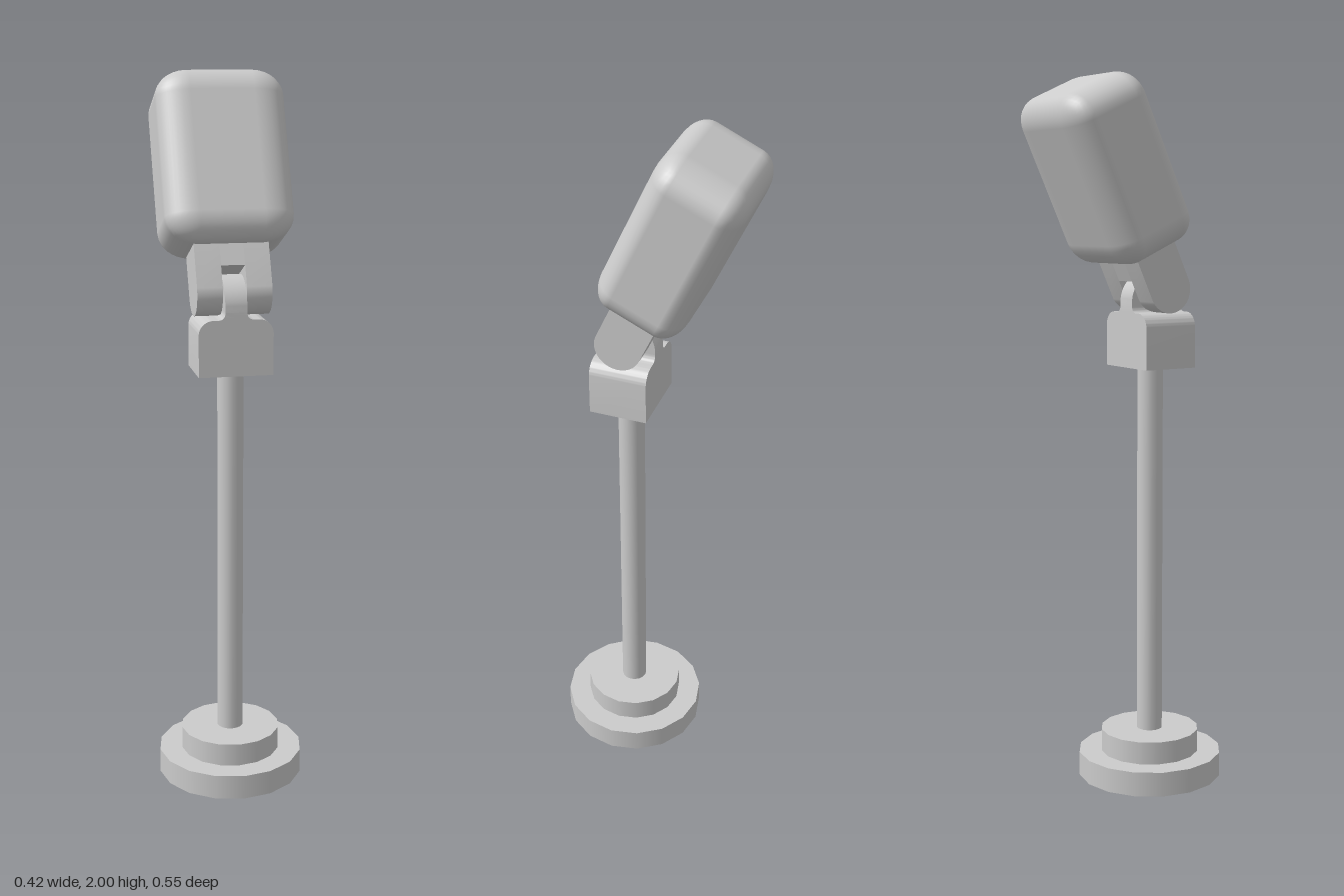
import * as THREE from 'three';
import { toCreasedNormals } from 'three/addons/utils/BufferGeometryUtils.js';
import { RoundedBoxGeometry } from 'three/addons/geometries/RoundedBoxGeometry.js';

const AXIS_Z = 0.07; // the stand's axis
const TILT = -0.427; // head leans backwards

export function createModel() {
  const model = new THREE.Group();
  const material = new THREE.MeshStandardMaterial({ color: 0xcccccc });

  function add(parent, name, geometry, x, y, z) {
    const mesh = new THREE.Mesh(geometry, material);
    mesh.name = name;
    mesh.position.set(x, y, z);
    parent.add(mesh);
    return mesh;
  }

  function extrude(shape, depth, curveSegments) {
    const geometry = new THREE.ExtrudeGeometry(shape, { depth, curveSegments, bevelEnabled: false });
    geometry.translate(0, 0, -depth / 2);
    return toCreasedNormals(geometry, 0.6);
  }

  // Plate in the y-z plane with one half-round end, thickness along x
  function roundedPlate(radius, length, thickness, roundUp) {
    const s = new THREE.Shape();
    if (roundUp) {
      s.moveTo(-radius, -length);
      s.lineTo(radius, -length);
      s.absarc(0, 0, radius, 0, Math.PI, false);
    } else {
      s.moveTo(radius, length);
      s.lineTo(-radius, length);
      s.absarc(0, 0, radius, Math.PI, Math.PI * 2, false);
    }
    s.closePath();
    return extrude(s, thickness, 14).rotateY(-Math.PI / 2);
  }

  function cylinder(name, radius, bottom, top) {
    const geometry = new THREE.CylinderGeometry(radius, radius, top - bottom, 16);
    add(model, name, geometry, 0, (bottom + top) / 2, AXIS_Z);
  }

  // Stepped base and pole
  cylinder('baseLower', 0.208, 0, 0.07);
  cylinder('baseUpper', 0.142, 0.07, 0.135);
  cylinder('pole', 0.037, 0.135, 1.2);

  // Joint block with rounded shoulders and fillets up to the tongue
  const block = new THREE.Shape();
  block.moveTo(-0.103, 0);
  block.lineTo(0.103, 0);
  block.lineTo(0.103, 0.115);
  block.absarc(0.063, 0.115, 0.04, 0, Math.PI / 2, false);
  block.lineTo(0.05, 0.155);
  block.quadraticCurveTo(0.03, 0.155, 0.03, 0.175);
  block.lineTo(-0.03, 0.175);
  block.quadraticCurveTo(-0.03, 0.155, -0.05, 0.155);
  block.lineTo(-0.063, 0.155);
  block.absarc(-0.063, 0.115, 0.04, Math.PI / 2, Math.PI, false);
  block.closePath();
  add(model, 'jointBlock', extrude(block, 0.163, 8), 0, 1.2, 0.071);
  add(model, 'jointTongue', roundedPlate(0.0815, 0.03, 0.06, true), 0, 1.384, 0.071);

  // Tilted head assembly, turning about the joint
  const tilted = new THREE.Group();
  tilted.name = 'tiltedHead';
  tilted.position.set(0, 1.421, 0.069);
  tilted.rotation.x = TILT;
  model.add(tilted);

  // Fork: two cheeks joined by a bridge
  for (const side of [-1, 1]) {
    const name = side > 0 ? 'forkCheekLeft' : 'forkCheekRight';
    add(tilted, name, roundedPlate(0.066, 0.14, 0.07, false), side * 0.068, 0, 0);
  }
  add(tilted, 'forkBridge', new THREE.BoxGeometry(0.066, 0.087, 0.132), 0, 0.0965, 0);

  // Head: rounded box, softer across its width than its depth
  const r = 0.07, sx = 0.09 / r, sy = 0.075 / r, sz = 0.06 / r;
  const head = new RoundedBoxGeometry(0.357 / sx, 0.488 / sy, 0.256 / sz, 4, r);
  head.scale(sx, sy, sz);
  add(tilted, 'head', head, 0, 0.358, 0);

  return model;
}
